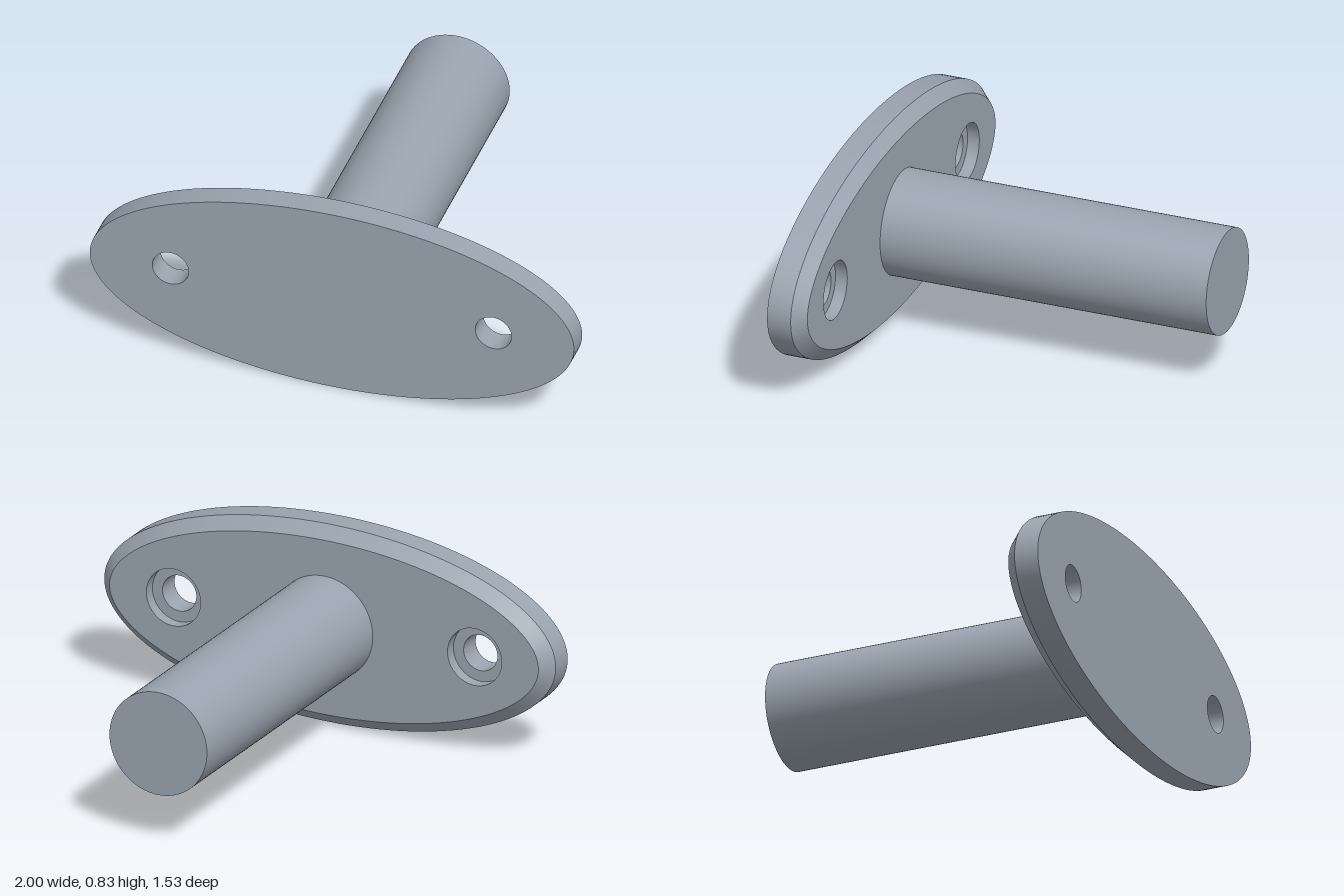
import * as THREE from 'three';

const CENTER_Y = 0.417, RX = 1, RY = 0.417;
const Z_FRONT = 0.767, Z_RIM = 0.667, Z_BACK = 0.617, Z_SHAFT = -0.767;
const CHAMFER = 0.05, HOLE_X = 0.667, HOLE_R = 0.075, BORE_R = 0.12, BORE_DEPTH = 0.05;
const SHAFT_R = 0.216;

// Ellipse moved inwards by a constant distance, counter-clockwise
function ellipseRing(inset, count = 144) {
  return Array.from({ length: count }, (_, i) => {
    const t = (i / count) * Math.PI * 2;
    const normal = new THREE.Vector2(RY * Math.cos(t), RX * Math.sin(t)).normalize();
    return new THREE.Vector2(RX * Math.cos(t), RY * Math.sin(t)).addScaledVector(normal, -inset);
  });
}

function circleRing(x, r, count = 48) {
  return Array.from({ length: count }, (_, i) => {
    const t = (i / count) * Math.PI * 2;
    return new THREE.Vector2(x + r * Math.cos(t), r * Math.sin(t));
  });
}

// Smooth wall between two rings; faces outwards when zA < zB, inwards otherwise
function wall(ringA, zA, ringB, zB) {
  const n = ringA.length, positions = [], index = [];
  ringA.forEach((p) => positions.push(p.x, p.y, zA));
  ringB.forEach((p) => positions.push(p.x, p.y, zB));
  for (let i = 0; i < n; i++) {
    const j = (i + 1) % n;
    index.push(i, j, n + j, i, n + j, n + i);
  }
  const geometry = new THREE.BufferGeometry();
  geometry.setAttribute('position', new THREE.Float32BufferAttribute(positions, 3));
  geometry.setIndex(index);
  geometry.computeVertexNormals();
  return geometry;
}

// Flat face with two screw holes, facing +z
function plateFace(outline, holeRadius) {
  const shape = new THREE.Shape(outline);
  for (const side of [-1, 1]) shape.holes.push(new THREE.Path(circleRing(side * HOLE_X, holeRadius)));
  return new THREE.ShapeGeometry(shape);
}

export function createModel() {
  const model = new THREE.Group();
  model.name = 'wallMountPeg';
  const steel = new THREE.MeshStandardMaterial({ color: 0x9aa4b0 });
  steel.name = 'steel grey';

  const body = new THREE.Group();
  body.name = 'body';
  body.position.y = CENTER_Y;
  model.add(body);
  const add = (name, geometry) => {
    const mesh = new THREE.Mesh(geometry, steel);
    mesh.name = name;
    body.add(mesh);
  };

  // Oval plate with a chamfered back edge
  const outer = ellipseRing(0), inner = ellipseRing(CHAMFER);
  add('plateFront', plateFace(outer, HOLE_R).translate(0, 0, Z_FRONT));
  add('plateRim', wall(outer, Z_RIM, outer, Z_FRONT));
  add('plateChamfer', wall(inner, Z_BACK, outer, Z_RIM));
  add('plateBack', plateFace(inner, BORE_R).rotateY(Math.PI).translate(0, 0, Z_BACK));

  // Counterbored screw holes, wide at the back
  const zStep = Z_BACK + BORE_DEPTH;
  for (const [side, x] of [['left', HOLE_X], ['right', -HOLE_X]]) {
    const hole = circleRing(x, HOLE_R), bore = circleRing(x, BORE_R);
    add(side + 'ScrewHole', wall(hole, Z_FRONT, hole, zStep));
    add(side + 'Counterbore', wall(bore, zStep, bore, Z_BACK));
    add(side + 'CounterboreSeat',
      new THREE.RingGeometry(HOLE_R, BORE_R, 48).rotateY(Math.PI).translate(x, 0, zStep));
  }

  // Round peg reaching back from the plate, slightly sunk into it
  const length = Z_BACK + 0.02 - Z_SHAFT;
  add('peg', new THREE.CylinderGeometry(SHAFT_R, SHAFT_R, length, 72)
    .rotateX(Math.PI / 2).translate(0, 0, Z_SHAFT + length / 2));

  return model;
}
